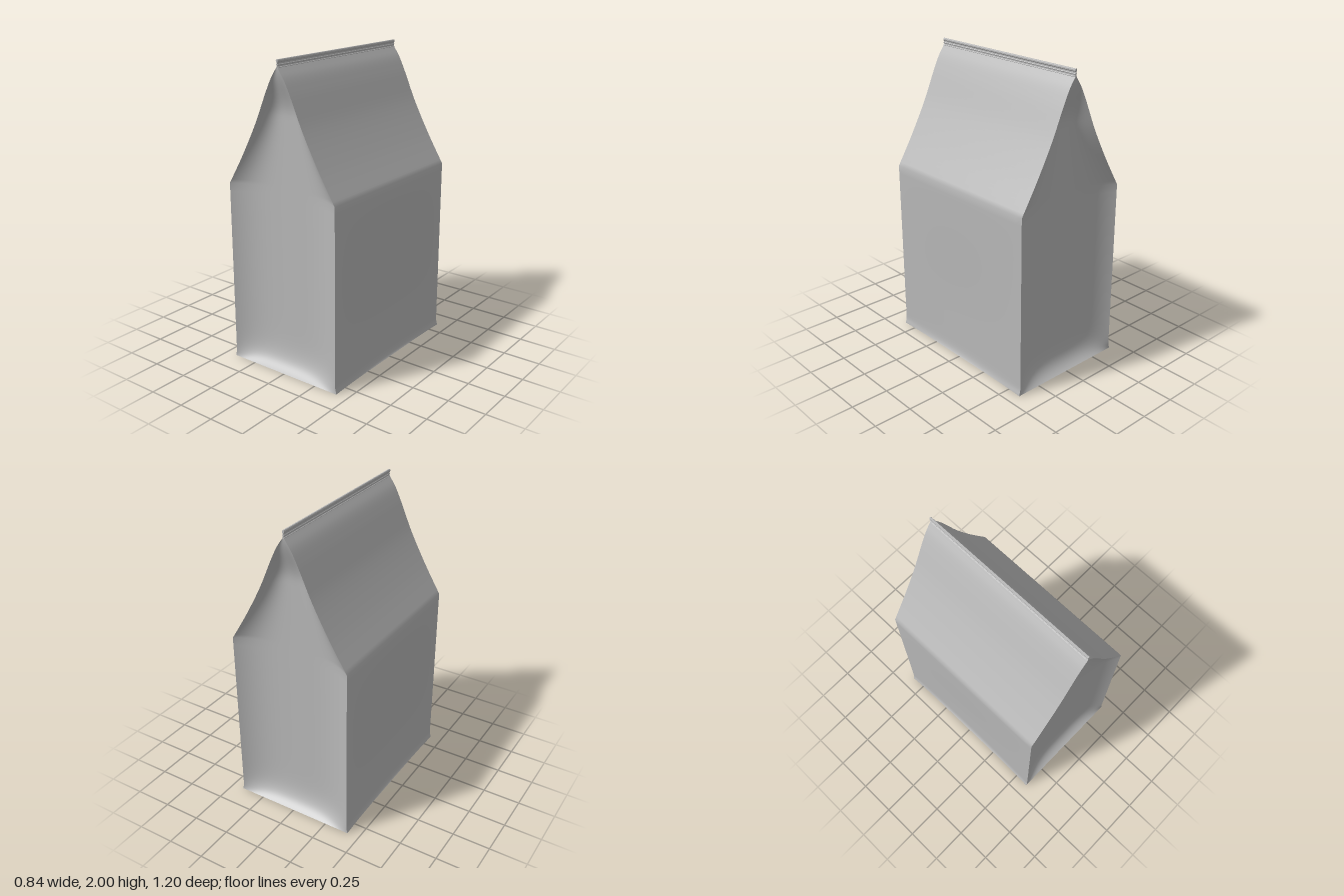
import * as THREE from 'three';

const W = 0.41, D = 0.6, SHOULDER = 1.2;
const { smoothstep } = THREE.MathUtils;

// Curve of the sloping top, from the shoulder to the pinched seam
const slope = new THREE.CatmullRomCurve3([
  [W, 1.2], [0.29, 1.4], [0.18, 1.605], [0.088, 1.81], [0.045, 1.895], [0.004, 1.955],
].map(([x, y]) => new THREE.Vector3(x, y, 0)));

// Half width and height of the bag at v = 0 (base) to 1 (seam)
function profile(v) {
  if (v >= 0.5) {
    const p = slope.getPoint((v - 0.5) * 2);
    return [p.x, p.y];
  }
  return [W, SHOULDER * Math.pow(v * 2, 1.8)];
}

// Slight outward flare of the base fold, strongest at the corners
const flare = (y, z) => 0.009 * Math.pow(z / D, 4) * Math.exp(-((y / 0.025) ** 2));

// Shallow hollow of the broad sides, fading out towards the shoulder
const hollow = (y, z) => 0.014 * (1 - (z / D) ** 2)
  * (1 - Math.exp(-y / 0.02)) * (1 - smoothstep(y, 0.3, 1.15));

// How far the end panel sinks inwards: out to the fold at the base and to the seam at the top
const sink = (y) => 0.08 * (1 - Math.exp(-y / 0.05)) * (1 - smoothstep(y, 1.66, 1.98));

// Curved sheet from a rule (u, v) -> [x, y, z]
function sheet(nu, nv, rule) {
  const g = new THREE.PlaneGeometry(1, 1, nu, nv);
  const p = g.attributes.position;
  for (let i = 0; i < p.count; i++) p.setXYZ(i, ...rule(p.getX(i) + 0.5, p.getY(i) + 0.5));
  g.computeVertexNormals();
  return g;
}

export function createModel() {
  const bag = new THREE.Group();
  bag.name = 'paperBag';
  const paper = new THREE.MeshStandardMaterial({ color: 0xb8b8b8 });
  paper.name = 'grey paper';
  paper.side = THREE.DoubleSide;

  const add = (name, geometry, turn = 0) => {
    const mesh = new THREE.Mesh(geometry, paper);
    mesh.name = name;
    mesh.rotation.y = turn;
    bag.add(mesh);
  };

  // Broad side panels, running up into the slopes
  const side = sheet(24, 80, (u, v) => {
    const [w, y] = profile(v), z = D * (1 - 2 * u);
    return [w + flare(y, z) - hollow(y, z), y, z];
  });
  add('leftPanel', side);
  add('rightPanel', side, Math.PI);

  // End panels, sunk between the side edges like a soft gusset
  const end = sheet(48, 80, (u, v) => {
    const [w, y] = profile(v);
    const s = Math.sin((u - 0.5) * Math.PI);
    const dip = 1 - Math.pow(Math.abs(s), 3.5);
    return [s * (w + flare(y, D)), y, D - sink(y) * dip];
  });
  add('frontGusset', end);
  add('backGusset', end, Math.PI);

  // Base, arched a little off the ground
  add('base', sheet(24, 24, (u, v) => {
    const s = 2 * u - 1, z = D * (2 * v - 1);
    return [s * (W + flare(0, z)), 0.02 * (1 - s * s) * (1 - (z / D) ** 2), z];
  }));

  // Flat seam with a small rolled rim, closing the top
  const half = [[0.005, 1.95], [0.007, 1.955], [0.003, 1.959], [0.003, 1.966],
    [0.006, 1.97], [0.003, 1.974], [0.003, 1.982], [0.007, 1.987], [0.007, 1.995], [0.004, 2]];
  const outline = [...half, ...half.map(([x, y]) => [-x, y]).reverse()];
  const seam = new THREE.ExtrudeGeometry(
    new THREE.Shape(outline.map(([x, y]) => new THREE.Vector2(x, y))),
    { depth: 2 * D, bevelEnabled: false });
  seam.translate(0, 0, -D);
  add('topSeam', seam);

  return bag;
}
